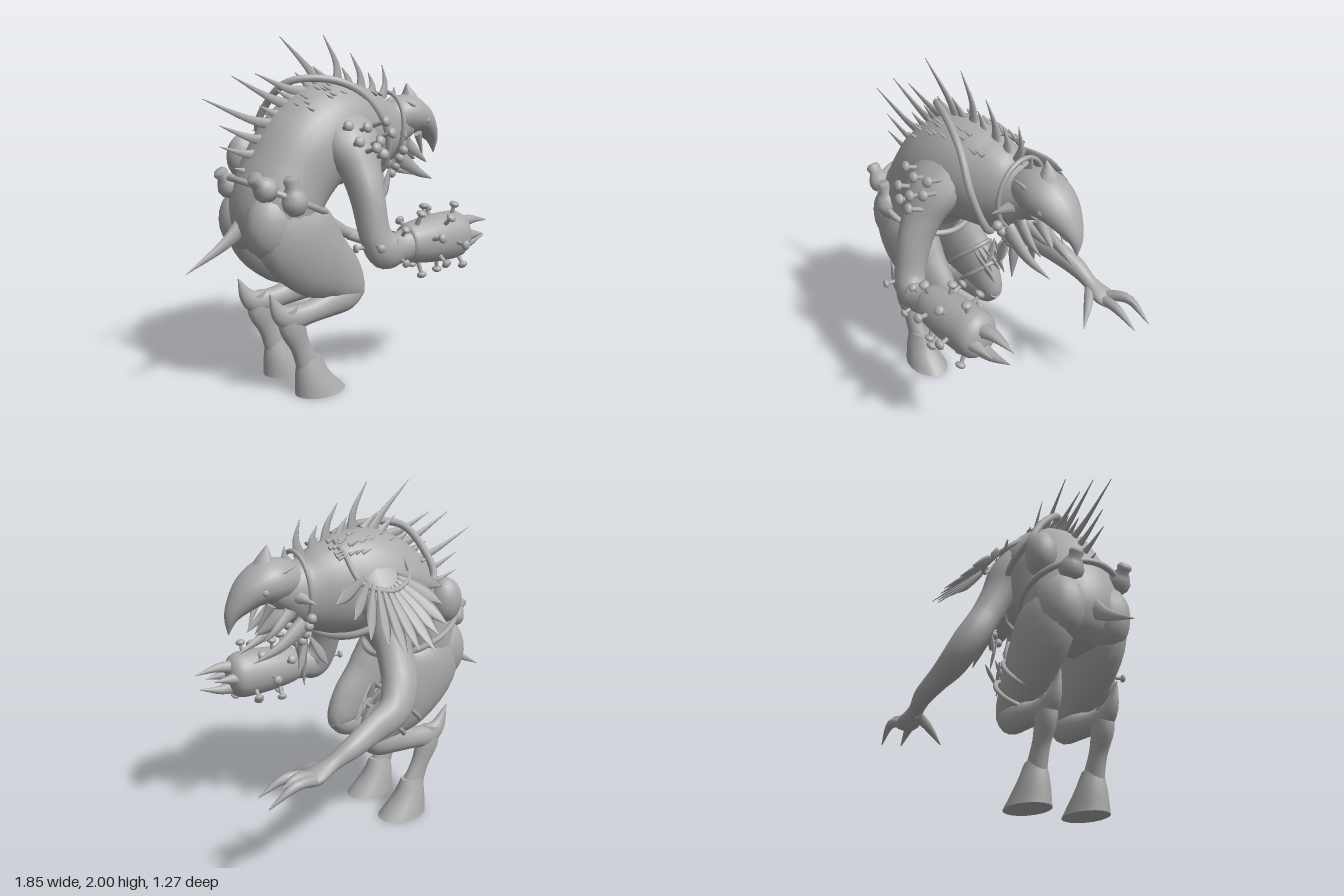
import * as THREE from 'three';

const V = (x, y, z) => new THREE.Vector3(x, y, z);

// Smooth body along sections [x, y, z, half thickness, half width along z]; axis fixes the section plane
function loft(secs, steps = 5, sides = 16, axis = null) {
  const path = new THREE.CatmullRomCurve3(secs.map(s => V(s[0], s[1], s[2])), false, 'catmullrom', 0.5);
  const radii = new THREE.CatmullRomCurve3(secs.map(s => V(s[3], s[4], 0)), false, 'catmullrom', 0.5);
  const rows = (secs.length - 1) * steps, pos = [], idx = [];
  for (let i = 0; i <= rows; i++) {
    const p = path.getPoint(i / rows), r = radii.getPoint(i / rows);
    const t = axis || path.getTangent(i / rows);
    const s = V(0, 0, 1).addScaledVector(t, -t.z).normalize();
    const n = t.clone().cross(s);
    for (let j = 0; j < sides; j++) {
      const a = j / sides * Math.PI * 2;
      const q = p.clone().addScaledVector(n, Math.max(r.x, 0.001) * Math.cos(a))
        .addScaledVector(s, Math.max(r.y, 0.001) * Math.sin(a));
      pos.push(q.x, q.y, q.z);
    }
  }
  for (let i = 0; i < rows; i++) for (let j = 0; j < sides; j++) {
    const a = i * sides + j, b = i * sides + (j + 1) % sides;
    idx.push(a, a + sides, b, b, a + sides, b + sides);
  }
  // flat end caps with their own vertices
  [[0, secs[0]], [rows, secs[secs.length - 1]]].forEach(([row, s]) => {
    const c = pos.length / 3;
    pos.push(s[0], s[1], s[2]);
    for (let j = 0; j < sides * 3; j++) pos.push(pos[row * sides * 3 + j]);
    for (let j = 0; j < sides; j++) {
      const a = c + 1 + j, b = c + 1 + (j + 1) % sides;
      row ? idx.push(c, b, a) : idx.push(c, a, b);
    }
  });
  const g = new THREE.BufferGeometry();
  g.setAttribute('position', new THREE.Float32BufferAttribute(pos, 3));
  g.setIndex(idx);
  g.computeVertexNormals();
  return g;
}

// Tapered horn from a through a bent middle to b
function horn(a, b, w, d, bend = [0, 0, 0]) {
  const m = a.map((v, i) => v * 0.55 + b[i] * 0.45 + bend[i]);
  return loft([[...a, w, d], [...m, w * 0.55, d * 0.6], [...b, 0.002, 0.002]], 4, 8);
}
// Flat leaf-shaped feather
function feather(a, b, w) {
  const at = t => a.map((v, i) => v + (b[i] - v) * t);
  return loft([[...a, w * 0.3, 0.004], [...at(0.35), w * 0.9, 0.006], [...at(0.7), w, 0.006], [...b, 0.002, 0.002]], 3, 6);
}
const rope = (pts, r, closed = false) => new THREE.TubeGeometry(
  new THREE.CatmullRomCurve3(pts.map(p => V(...p)), closed), pts.length * 6, r, 8, closed);

// Rope loop round a centre, spanned by vector u and the z axis
function loop(c, u, rz, r) {
  const pts = [];
  for (let i = 0; i < 12; i++) {
    const a = i / 12 * Math.PI * 2, k = Math.cos(a);
    pts.push([c[0] + u[0] * k, c[1] + u[1] * k, c[2] + rz * Math.sin(a)]);
  }
  return rope(pts, r, true);
}

export function createModel() {
  const model = new THREE.Group();
  const grey = new THREE.MeshStandardMaterial({ color: 0xaaaaaa });
  grey.name = 'grey';
  const add = (name, geo) => {
    const m = new THREE.Mesh(geo, grey);
    m.name = name;
    model.add(m);
    return m;
  };
  const ball = (name, p, s) => {
    const m = add(name, new THREE.SphereGeometry(1, 18, 12));
    m.position.set(...p);
    m.scale.set(...s);
    return m;
  };
  // Mushroom: a stalk with a squashed cap
  const mushroom = (p, dir, len, r) => {
    const d = V(...dir).normalize(), q = new THREE.Quaternion().setFromUnitVectors(V(0, 1, 0), d);
    const stalk = add('mushroomStalk', new THREE.CylinderGeometry(r * 0.35, r * 0.5, len, 8));
    stalk.position.set(...p).addScaledVector(d, len / 2);
    stalk.quaternion.copy(q);
    const cap = ball('mushroomCap', p, [r, r * 0.65, r]);
    cap.position.addScaledVector(d, len);
    cap.quaternion.copy(q);
  };

  // Hunched torso and neck
  add('torso', loft([[-0.43, 0.82, 0, 0.1, 0.1], [-0.42, 0.93, 0, 0.2, 0.24], [-0.385, 1.08, 0, 0.25, 0.27],
    [-0.3, 1.235, 0, 0.265, 0.265], [-0.17, 1.385, 0, 0.285, 0.27], [0, 1.455, 0, 0.3, 0.255],
    [0.2, 1.45, 0, 0.265, 0.21], [0.35, 1.45, 0, 0.21, 0.155], [0.47, 1.47, 0, 0.14, 0.115], [0.56, 1.48, 0, 0.09, 0.1]], 6, 28));

  // Beaked head
  add('beak', loft([[0.42, 1.52, 0, 0.09, 0.1], [0.5, 1.53, 0, 0.115, 0.125], [0.58, 1.53, 0, 0.12, 0.135], [0.66, 1.5, 0, 0.098, 0.122],
    [0.73, 1.445, 0, 0.07, 0.09], [0.79, 1.37, 0, 0.036, 0.045], [0.81, 1.28, 0, 0.003, 0.003]], 5, 18));
  add('headCrest', horn([0.59, 1.54, 0], [0.57, 1.72, 0], 0.11, 0.1, [0.01, 0, 0]));
  add('lowerJaw', loft([[0.42, 1.39, 0, 0.09, 0.1], [0.52, 1.34, 0, 0.06, 0.08], [0.6, 1.28, 0, 0.03, 0.04], [0.65, 1.25, 0, 0.003, 0.003]], 4, 12));
  for (const s of [-1, 1]) {
    add('brow', horn([0.63, 1.55, 0.09 * s], [0.47, 1.62, 0.12 * s], 0.03, 0.025));
    ball('eye', [0.645, 1.5, 0.115 * s], [0.02, 0.02, 0.015]);
    add('longTendril', horn([0.42, 1.3, 0.1 * s], [0.72, 1.13, 0.09 * s], 0.055, 0.035, [0.02, -0.03, 0.01 * s]));
    add('mouthTendril', horn([0.5, 1.37, 0.09 * s], [0.66, 1.24, 0.1 * s], 0.04, 0.025, [0.02, -0.02, 0.01 * s]));
    add('mouthTusk', horn([0.6, 1.42, 0.08 * s], [0.68, 1.27, 0.04 * s], 0.03, 0.02));
    add('cheekSpike', horn([0.45, 1.45, 0.1 * s], [0.4, 1.42, 0.2 * s], 0.04, 0.03));
  }

  // Dorsal spines: base x, base y, tip x, tip y
  [[0.38, 1.64, 0.375, 1.83], [0.22, 1.7, 0.14, 1.9], [0.05, 1.74, -0.05, 2], [-0.08, 1.73, -0.335, 1.99], [0.3, 1.67, 0.27, 1.79],
    [-0.18, 1.69, -0.49, 1.8], [-0.27, 1.62, -0.63, 1.79], [-0.36, 1.52, -0.8, 1.68], [-0.42, 1.44, -0.71, 1.54],
    [-0.46, 1.37, -0.71, 1.43], [-0.5, 1.28, -0.63, 1.31], [0.45, 1.6, 0.47, 1.7], [0.13, 1.72, 0.08, 1.82], [-0.03, 1.74, -0.12, 1.83],
    [-0.14, 1.71, -0.24, 1.8], [-0.24, 1.65, -0.36, 1.71], [-0.33, 1.57, -0.47, 1.63]].forEach(([x, y, tx, ty]) =>
    add('dorsalSpine', horn([x, y, 0], [tx, ty, 0], 0.036, 0.016, [(ty - y) * 0.12, (tx - x) * 0.06, 0])));
  add('tailSpike', horn([-0.56, 1.02, 0], [-0.93, 0.78, 0], 0.06, 0.03, [0.02, -0.01, 0]));

  // Small scales scattered beside the spine
  let seed = 7;
  const rnd = () => (seed = (seed * 16807) % 2147483647) / 2147483647;
  for (let i = 0; i < 44; i++) {
    const x = -0.3 + rnd() * 0.6, a = (0.2 + rnd() * 0.65) * (i % 2 ? 1 : -1);
    const top = 1.74 - 1.1 * Math.max(0, -x - 0.06) ** 1.5 - 0.9 * Math.max(0, x - 0.08) ** 2;
    const y = 1.45 + (top - 1.45) * Math.cos(a), z = 0.245 * Math.sin(a);
    add('backScale', horn([x, y, z], [x - 0.05, y + 0.02, z * 1.08], 0.012, 0.014));
  }

  // Backward-bending legs with hooves
  for (const s of [-1, 1]) {
    const z = 0.17 * s;
    ball('rump', [-0.49, 1, 0.14 * s], [0.155, 0.19, 0.125]);
    add('thigh', loft([[-0.42, 1.17, 0.15 * s, 0.1, 0.08], [-0.37, 0.97, 0.16 * s, 0.235, 0.13], [-0.23, 0.79, z, 0.22, 0.12],
      [-0.07, 0.67, z, 0.16, 0.088], [0.02, 0.58, z, 0.1, 0.072], [0.045, 0.51, z, 0.045, 0.045]], 5, 18));
    add('shin', loft([[0.08, 0.57, z, 0.05, 0.05], [-0.01, 0.535, z, 0.088, 0.07], [-0.14, 0.51, z, 0.08, 0.065], [-0.27, 0.485, z, 0.065, 0.058],
      [-0.39, 0.475, z, 0.07, 0.05], [-0.47, 0.52, z, 0.05, 0.035], [-0.53, 0.64, z, 0.003, 0.003]], 4));
    add('shank', loft([[-0.41, 0.53, z, 0.06, 0.04], [-0.385, 0.42, z, 0.08, 0.05], [-0.335, 0.3, z, 0.06, 0.043], [-0.28, 0.17, z, 0.075, 0.05]], 4));
    add('hoof', loft([[-0.275, 0.22, z, 0.075, 0.048], [-0.255, 0.12, 0.17 * s, 0.105, 0.08], [-0.2, 0, 0.172 * s, 0.16, 0.113]], 5, 18, V(0, -1, 0)));
  }

  // Left arm with a heavy shoulder, ending in a club with claws
  add('leftArm', loft([[-0.04, 1.6, 0.06, 0.13, 0.08], [-0.02, 1.52, 0.135, 0.17, 0.105], [-0.02, 1.4, 0.235, 0.175, 0.12],
    [-0.02, 1.27, 0.31, 0.12, 0.105], [-0.02, 1.13, 0.37, 0.092, 0.1],
    [-0.01, 0.95, 0.42, 0.09, 0.085], [0.04, 0.86, 0.45, 0.11, 0.08], [0.13, 0.855, 0.45, 0.09, 0.08], [0.25, 0.87, 0.45, 0.1, 0.1]]));
  add('club', loft([[0.18, 0.87, 0.45, 0.08, 0.08], [0.2, 0.87, 0.45, 0.11, 0.1], [0.32, 0.87, 0.45, 0.13, 0.12], [0.46, 0.87, 0.45, 0.14, 0.125],
    [0.57, 0.87, 0.45, 0.135, 0.12], [0.62, 0.87, 0.45, 0.09, 0.08], [0.635, 0.87, 0.45, 0.02, 0.02]], 4, 20, V(1, 0, 0)));
  [[0.92, 0.45, 0.83, 0.92], [0.87, 0.39, 0.74, 0.88], [0.87, 0.51, 0.74, 0.86], [0.81, 0.45, 0.81, 0.83]].forEach(([y, z, tx, ty]) =>
    add('clubClaw', horn([0.56, y, z], [tx, ty, z], 0.052, 0.052, [0, (y - 0.865) * 0.35, 0])));
  for (let i = 0; i < 15; i++) {
    const a = 0.4 + i * 2.4, c = Math.cos(a), s = Math.sin(a);
    mushroom([0.23 + i * 0.022, 0.87 + 0.12 * c, 0.45 + 0.11 * s], [0.1, c, s], 0.07, 0.028);
  }
  [[-0.1, 1.5, 0.24], [-0.02, 1.48, 0.25], [0.07, 1.5, 0.24], [-0.08, 1.42, 0.31], [0.02, 1.41, 0.31], [0.08, 1.44, 0.28], [0.05, 1.35, 0.35],
    [-0.03, 1.38, 0.34]].forEach((p, i) => mushroom(p, [i % 3 * 0.25 - 0.25, 0.35, 1], 0.1 + (i % 3) * 0.02, 0.03));
  [[-0.05, 0.9, 0.49, -0.3, 0, 1], [0.1, 0.81, 0.5, 0, -0.3, 1], [0.13, 0.92, 0.48, 0, 0.8, 0.6], [-0.07, 0.88, 0.42, -1, 0, -0.2]].forEach(m =>
    mushroom(m.slice(0, 3), m.slice(3), 0.06, 0.024));

  // Right arm reaching forward with a clawed hand
  add('rightArm', loft([[-0.04, 1.6, -0.06, 0.13, 0.08], [-0.02, 1.52, -0.14, 0.17, 0.105], [-0.02, 1.4, -0.215, 0.165, 0.115],
    [-0.01, 1.27, -0.275, 0.125, 0.095], [0, 1.13, -0.34, 0.105, 0.088],
    [0.02, 0.98, -0.42, 0.11, 0.088], [0.1, 0.86, -0.475, 0.1, 0.08], [0.25, 0.8, -0.505, 0.08, 0.06], [0.4, 0.745, -0.53, 0.06, 0.055],
    [0.52, 0.69, -0.53, 0.04, 0.045], [0.62, 0.65, -0.53, 0.04, 0.07], [0.69, 0.635, -0.53, 0.025, 0.06]]));
  [[[0.64, 0.645, -0.56], [0.77, 0.665, -0.595], [0.92, 0.58, -0.59]], [[0.64, 0.645, -0.51], [0.77, 0.655, -0.48], [0.91, 0.59, -0.47]],
    [[0.62, 0.65, -0.54], [0.75, 0.69, -0.57], [0.84, 0.66, -0.58]], [[0.53, 0.67, -0.52], [0.61, 0.63, -0.41], [0.68, 0.56, -0.3]]].forEach(([a, b, c]) =>
    add('finger', loft([[...a, 0.03, 0.035], [...b, 0.027, 0.026], [...c, 0.003, 0.003]], 4, 8)));

  // Feather fan on the right shoulder
  for (let i = 0; i < 11; i++) {
    const a = 0.3 + i / 10 * 2.54, c = Math.cos(a), s = Math.sin(a), len = i % 2 ? 0.5 : 0.54;
    const at = (r, k) => [0.04 + k * c * r, 1.565 - 0.69 * s * r, -0.245 - 0.72 * s * r];
    add('shoulderFeather', feather(at(0.11, 1), at(len, 0.66), 0.036));
  }
  add('fanRope', rope([[-0.17, 1.62, -0.17], [-0.13, 1.52, -0.29], [0.03, 1.47, -0.345], [0.17, 1.52, -0.27], [0.2, 1.65, -0.16], [0.2, 1.72, -0.05]], 0.014));

  // Straps, belt and pouches
  add('chestStrap', rope([[-0.33, 1.62, -0.16], [-0.27, 1.75, -0.02], [-0.04, 1.755, 0.1], [0.13, 1.66, 0.165], [0.25, 1.47, 0.2], [0.29, 1.24, 0.12], [0.22, 1.18, 0],
    [0.14, 1.2, -0.15], [0, 1.27, -0.235], [-0.2, 1.38, -0.28], [-0.34, 1.48, -0.24]], 0.021, true));
  add('neckRope', loop([0.41, 1.47, 0], [0.01, 0.2], 0.165, 0.013));
  add('belt', loop([-0.36, 1.13, 0], [0.265, -0.12], 0.28, 0.018));
  const pouchProfile = [[0, -1], [0.6, -0.85], [0.95, -0.5], [1, -0.15], [0.75, 0.25], [0.5, 0.5], [0.6, 0.8], [0.45, 1], [0, 1]];
  [[[-0.57, 1.23, 0.19], [0.07, 0.09, 0.07], 0.8], [[-0.42, 1.17, 0.25], [0.075, 0.11, 0.07], 0.15],
    [[-0.6, 1.21, -0.13], [0.07, 0.09, 0.07], 0.6]].forEach(([p, s, tilt]) => {
    const m = add('pouch', new THREE.LatheGeometry(pouchProfile.map(q => new THREE.Vector2(...q)), 16));
    m.position.set(...p);
    m.scale.set(...s);
    m.rotation.z = tilt;
  });
  ball('largePouch', [-0.44, 1.33, -0.23], [0.1, 0.13, 0.085]);

  // Necklace beads and hanging feathers
  for (const s of [-1, 1]) for (let i = 0; i < 4; i++)
    ball('bead', [0.41, 1.34 - i * 0.05, s * (0.165 - i * 0.035)], [0.028, 0.028, 0.028]);
  add('pendant', loft([[0.38, 1.2, 0, 0.012, 0.012], [0.38, 1.09, 0, 0.025, 0.035], [0.37, 0.91, 0, 0.002, 0.002]], 4, 8));
  [[0.33, 1.03, 0.08], [0.45, 1.02, -0.09], [0.3, 1.06, -0.14]].forEach(t => add('hangingFeather', feather([0.39, 1.22, t[2] * 0.8], t, 0.025)));

  // Wrapped feathers on the right thigh
  for (const [x, y, k] of [[-0.16, 0.74, 0.19], [-0.06, 0.66, 0.16]])
    add('thighRope', loop([x, y, -0.17], [k * 0.72, k * 0.7], 0.115, 0.014));
  for (let i = 0; i < 6; i++) {
    const z = -0.08 - i * 0.035;
    add('thighFeather', feather([-0.02, 0.85, z], [0.11 - (i % 2) * 0.04, 0.66 + (i % 3) * 0.04, z - 0.05 + i * 0.015], 0.022));
  }
  for (let i = 0; i < 3; i++)
    add('thighFeather', feather([0.04, 0.72, -0.12 - i * 0.06], [0.03, 0.92 - i * 0.04, -0.2 - i * 0.06], 0.022));
  return model;
}
